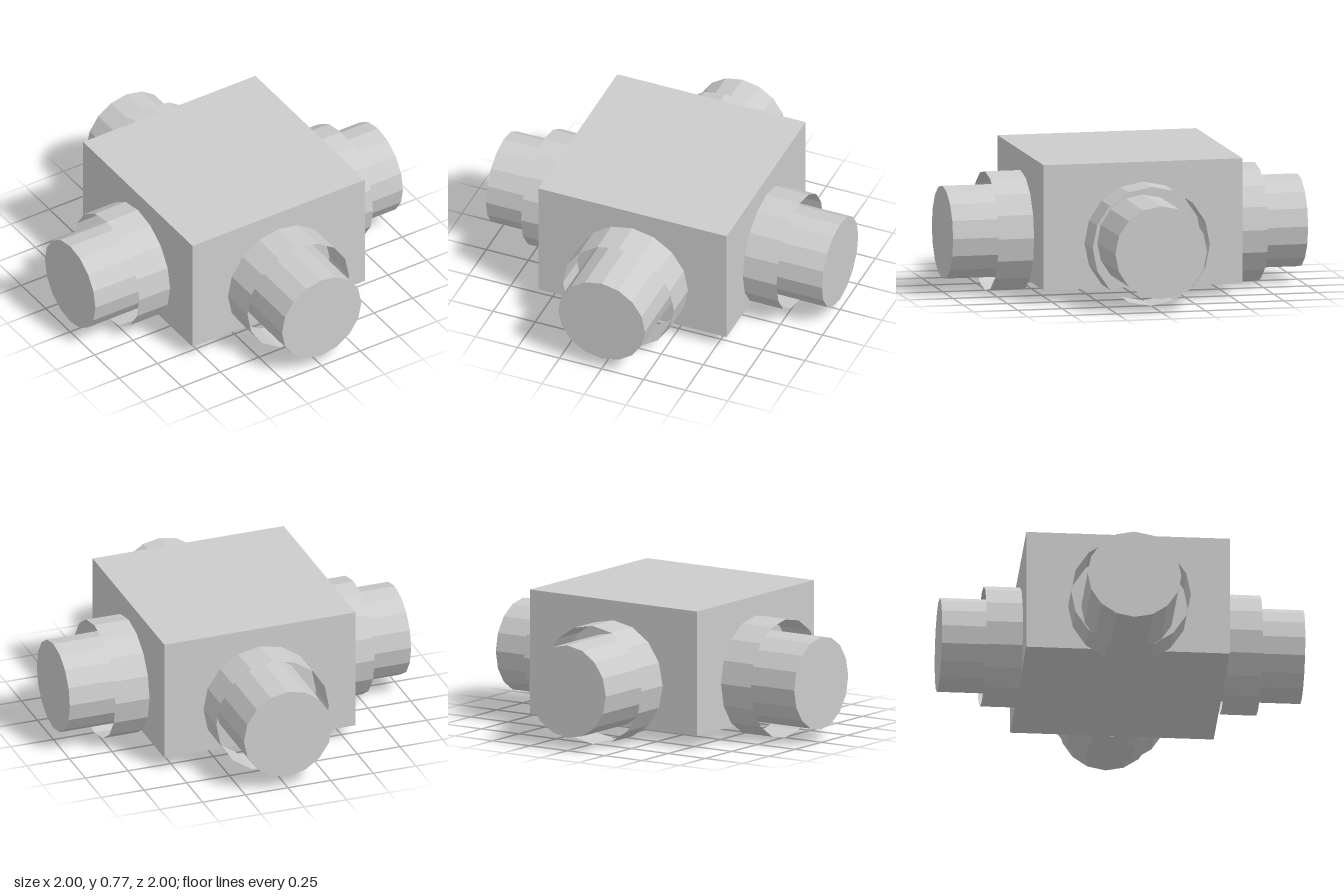
import * as THREE from 'three';

const SIDES = 16;
const AXIS_Y = 0.33; // height of the pipe axes
const HUB_HALF = 0.56;

export function createModel() {
  const model = new THREE.Group();
  model.name = 'crossFitting';

  const solid = new THREE.MeshStandardMaterial({ color: 0xcccccc, flatShading: true });
  const thin = new THREE.MeshStandardMaterial({ color: 0xcccccc, flatShading: true, side: THREE.DoubleSide });

  // Square central block
  const hub = new THREE.Mesh(new THREE.BoxGeometry(HUB_HALF * 2, 0.695, HUB_HALF * 2), solid);
  hub.name = 'hub';
  hub.position.y = 0.4225;
  model.add(hub);

  // Cylinder lying along +z between two distances from the centre
  const alongZ = (radius, from, to, open) =>
    new THREE.CylinderGeometry(radius, radius, to - from, SIDES, 1, open)
      .rotateX(Math.PI / 2)
      .translate(0, AXIS_Y, (from + to) / 2);

  const pipeGeometry = alongZ(0.258, HUB_HALF, 1, false);
  const collarGeometry = alongZ(0.33, HUB_HALF, 0.76, true);

  // One capped pipe inside an open, thin collar on each side of the block
  ['front', 'left', 'back', 'right'].forEach((side, i) => {
    const arm = new THREE.Group();
    arm.name = `${side}Arm`;
    const pipe = new THREE.Mesh(pipeGeometry, solid);
    pipe.name = `${side}Pipe`;
    const collar = new THREE.Mesh(collarGeometry, thin);
    collar.name = `${side}Collar`;
    arm.add(pipe, collar);
    arm.rotation.y = (i * Math.PI) / 2;
    model.add(arm);
  });

  return model;
}
